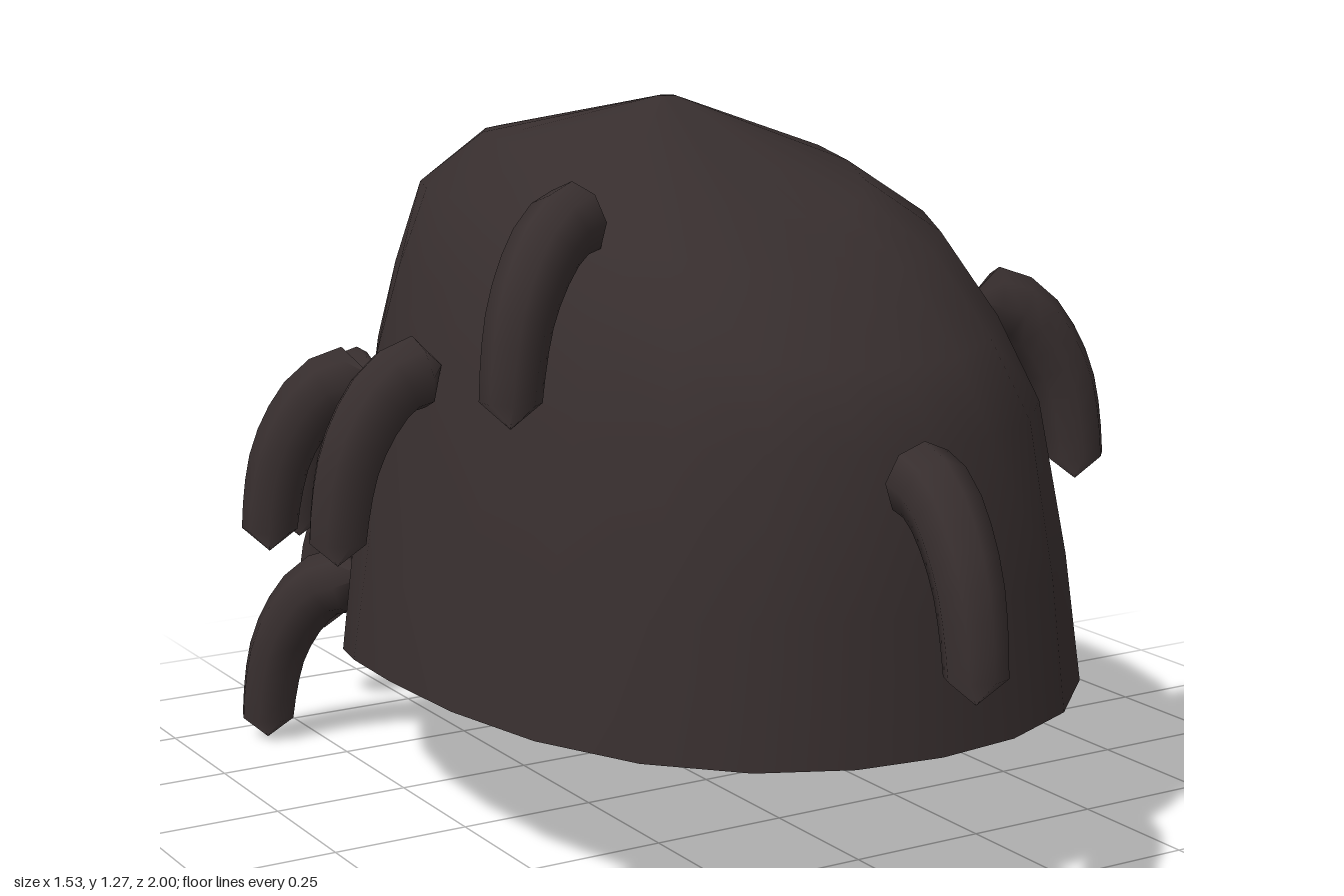
import * as THREE from 'three';

const hair = new THREE.MeshStandardMaterial({ color: 0x372e2e, side: THREE.DoubleSide });
hair.name = 'dark hair';

// Open shell lofted through oval rings, each with its own front, side and back heights
function capGeometry() {
  const SEG = 24, CX = -0.045;
  // [half width, side y, centre z, front z, front y, back z, back y]
  const rings = [
    [0.014, 1.275, -0.06, -0.046, 1.275, -0.074, 1.275],
    [0.245, 1.19, -0.06, 0.42, 1.11, -0.6, 1.18],
    [0.365, 1.10, -0.04, 0.55, 1.03, -0.74, 1.08],
    [0.43, 0.96, -0.02, 0.68, 0.90, -0.775, 0.92],
    [0.49, 0.80, 0, 0.755, 0.78, -0.775, 0.80],
    [0.555, 0.52, 0, 0.785, 0.52, -0.745, 0.48],
    [0.595, 0.30, 0, 0.80, 0.285, -0.74, 0.12],
  ];
  const pos = [], idx = [];
  rings.forEach(([rx, y, z0, zf, yf, zb, yb], i) => {
    for (let j = 0; j < SEG; j++) {
      const a = (j / SEG) * Math.PI * 2, c = Math.cos(a);
      const bulge = c > 0 && i > 0 ? 1 + 0.05 * Math.sin(2 * a) ** 2 : 1;
      const reach = c > 0 ? zf - z0 : z0 - zb;
      pos.push(CX + rx * bulge * Math.sin(a), y + ((c > 0 ? yf : yb) - y) * c * c, z0 + reach * bulge * c);
      if (i > 0) {
        const k = (j + 1) % SEG, t = (i - 1) * SEG, b = i * SEG;
        idx.push(t + j, b + j, b + k, t + j, b + k, t + k);
      }
    }
  });
  const g = new THREE.BufferGeometry();
  g.setAttribute('position', new THREE.Float32BufferAttribute(pos, 3));
  g.setIndex(idx);
  g.computeVertexNormals();
  return g;
}

// Drooping lock: leaves the scalp outwards, bends down, tapers to a point
function lockGeometry(bx, bz, tx, ty, tz) {
  const path = [[0, 0.33], [0.45, 0.305], [0.83, 0.2], [0.98, 0.07], [1, 0]];
  const curve = new THREE.CatmullRomCurve3(path.map(([f, up]) =>
    new THREE.Vector3(bx + (tx - bx) * f, ty + up, bz + (tz - bz) * f)));
  const N = 10, SIDES = 8;
  const g = new THREE.TubeGeometry(curve, N, 1, SIDES);
  const p = g.attributes.position, v = new THREE.Vector3();
  for (let i = 0; i <= N; i++) {
    const c = curve.getPointAt(i / N);
    const r = i === 0 || i === N ? 0.001 : 0.066 - 0.016 * (i / N);
    for (let j = 0; j <= SIDES; j++) {
      const n = i * (SIDES + 1) + j;
      v.fromBufferAttribute(p, n).sub(c).multiplyScalar(r).add(c);
      p.setXYZ(n, v.x, v.y, v.z);
    }
  }
  return g;
}

export function createModel() {
  const model = new THREE.Group();
  const add = (name, geometry) => {
    const mesh = new THREE.Mesh(geometry, hair);
    mesh.name = name;
    model.add(mesh);
  };

  add('hairCap', capGeometry());

  // [root x, root z, tip x, tip y, tip z]
  const locks = {
    frontLock: [[-0.085, 0.74, -0.095, 0.42, 0.95]],
    leftLock: [
      [0.34, 0.33, 0.53, 0.6, 0.4],
      [0.35, -0.43, 0.53, 0.64, -0.48],
      [0.47, -0.22, 0.66, 0.32, -0.26],
      [0.52, -0.02, 0.71, 0.2, -0.025],
    ],
    rightLock: [
      [-0.36, 0.23, -0.56, 0.79, 0.31],
      [-0.52, -0.02, -0.72, 0.51, -0.025],
    ],
    backRightLock: [
      [-0.44, -0.48, -0.62, 0.41, -0.56],
      [-0.44, -0.53, -0.59, 0.01, -0.67],
      [-0.33, -0.66, -0.46, 0.37, -0.79],
      [-0.3, -0.66, -0.4, 0.165, -0.82],
      [-0.22, -0.7, -0.3, 0.18, -0.88],
    ],
    backLock: [
      [0.07, -0.76, 0.11, 0.54, -0.955],
      [0.09, -0.72, 0.15, 0.155, -0.905],
    ],
  };
  for (const [name, list] of Object.entries(locks)) {
    list.forEach((l, i) => add(name + (i + 1), lockGeometry(...l)));
  }
  return model;
}
